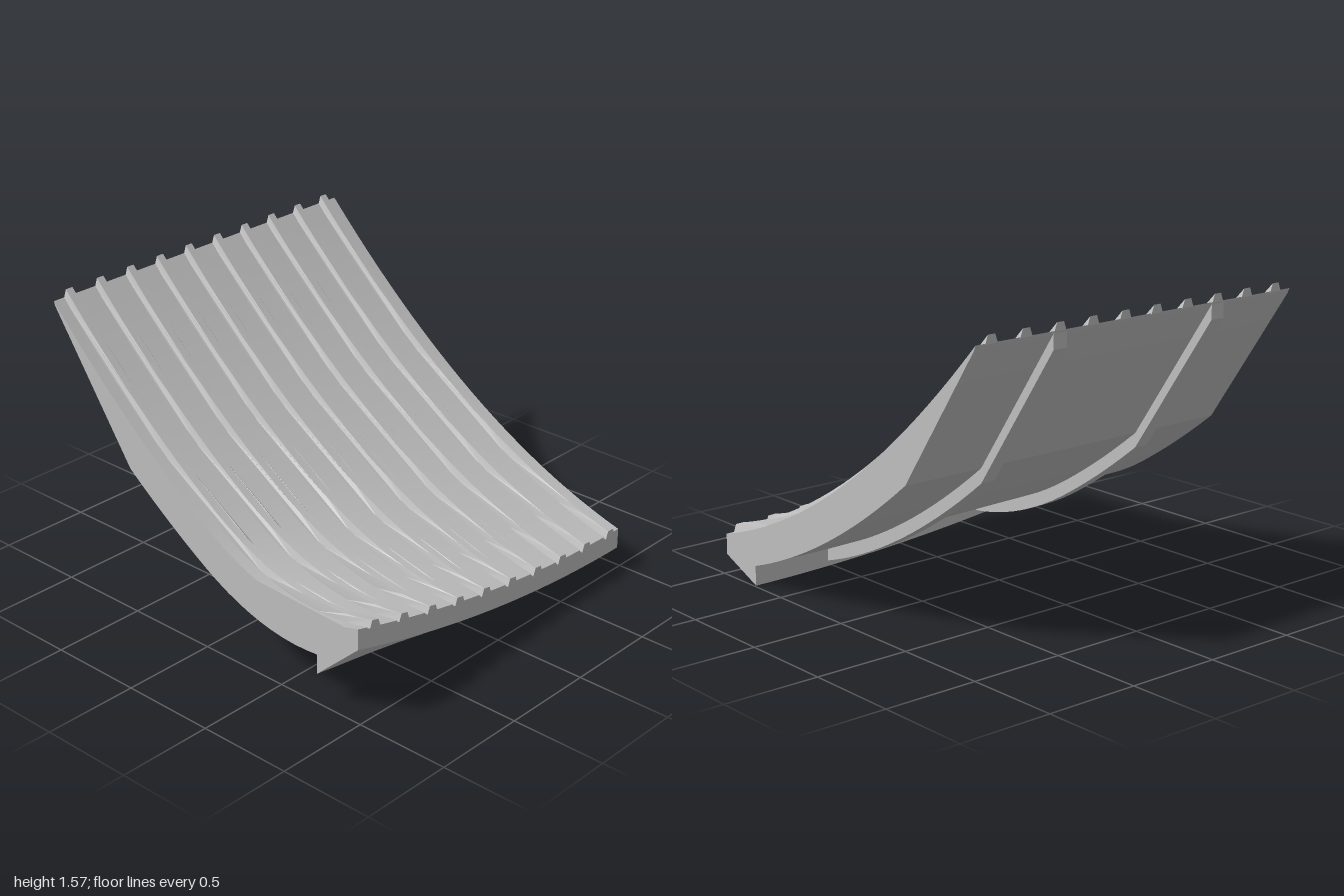
import * as THREE from 'three';
import { toCreasedNormals } from 'three/addons/utils/BufferGeometryUtils.js';

// Height of the top skin and the underside along z, at the low (+x) edge
const topY = (z) => 0.68 - 0.66 * z + 0.195 * z * z;
const underY = (z) => (z < -0.5 ? 0.8 - (z + 0.5) * 1.45 : 0.45 - 0.605 * z + 0.19 * z * z);

// The front edge sweeps upward toward -x
const lift = (x, z) => (z > 0 ? 0.295 * ((1 - x) / 2) ** 2 * z * z : 0);

// Sample a height curve from z0 to z1 with a vertical offset
function curve(fn, z0, z1, n, offset = 0) {
  return Array.from({ length: n + 1 }, (_, i) => {
    const z = z0 + ((z1 - z0) * i) / n;
    return new THREE.Vector2(z, fn(z) + offset);
  });
}

// Extrude a (z, y) profile across x, narrow its top if asked, then bend it
function slab(points, x0, x1, steps, topScale = 1) {
  const geo = new THREE.ExtrudeGeometry(new THREE.Shape(points), {
    depth: x1 - x0, steps, bevelEnabled: false,
  });
  geo.rotateY(-Math.PI / 2);
  geo.translate(x1, 0, 0);
  const mid = (x0 + x1) / 2;
  const pos = geo.attributes.position;
  for (let i = 0; i < pos.count; i++) {
    let x = pos.getX(i);
    const y = pos.getY(i), z = pos.getZ(i);
    if (topScale !== 1 && y > topY(z) + 0.01) x = mid + (x - mid) * topScale;
    pos.setXYZ(i, x, y + lift(x, z), z);
  }
  return toCreasedNormals(geo, 0.28);
}

export function createModel() {
  const group = new THREE.Group();
  const metal = new THREE.MeshStandardMaterial({ color: 0xc0c0c0 });
  metal.name = 'light grey metal';
  const add = (name, geo) => {
    const mesh = new THREE.Mesh(geo, metal);
    mesh.name = name;
    group.add(mesh);
  };

  // Curved panel with a hanging front lip
  const profile = [
    ...curve(topY, 0.985, -1, 24),
    ...curve(underY, -0.99, -0.5, 2),
    ...curve(underY, -0.42, 0.73, 16),
    new THREE.Vector2(0.73, 0.005),
    new THREE.Vector2(0.985, 0.11),
  ];
  add('panel', slab(profile, -1, 0.99, 24));

  // Ten tapered ribs running along the top
  const ribProfile = [
    ...curve(topY, 1, -1, 24, 0.038),
    ...curve(topY, -1, 1, 24, -0.005),
  ];
  for (let i = 0; i < 10; i++) {
    const x = -0.9 + i * 0.2;
    add('topRib', slab(ribProfile, x - 0.036, x + 0.036, 1, 0.58));
  }

  // Two stiffeners under the panel
  const beamProfile = [
    ...curve(underY, 0.735, -0.5, 16, 0.01),
    ...curve(underY, -0.98, -1, 1),
    new THREE.Vector2(-1, 1.45),
    ...curve(underY, -0.5, 0.735, 16, -0.075),
  ];
  for (const x of [-0.5, 0.5]) add('underBeam', slab(beamProfile, x - 0.04, x + 0.04, 1));

  return group;
}
